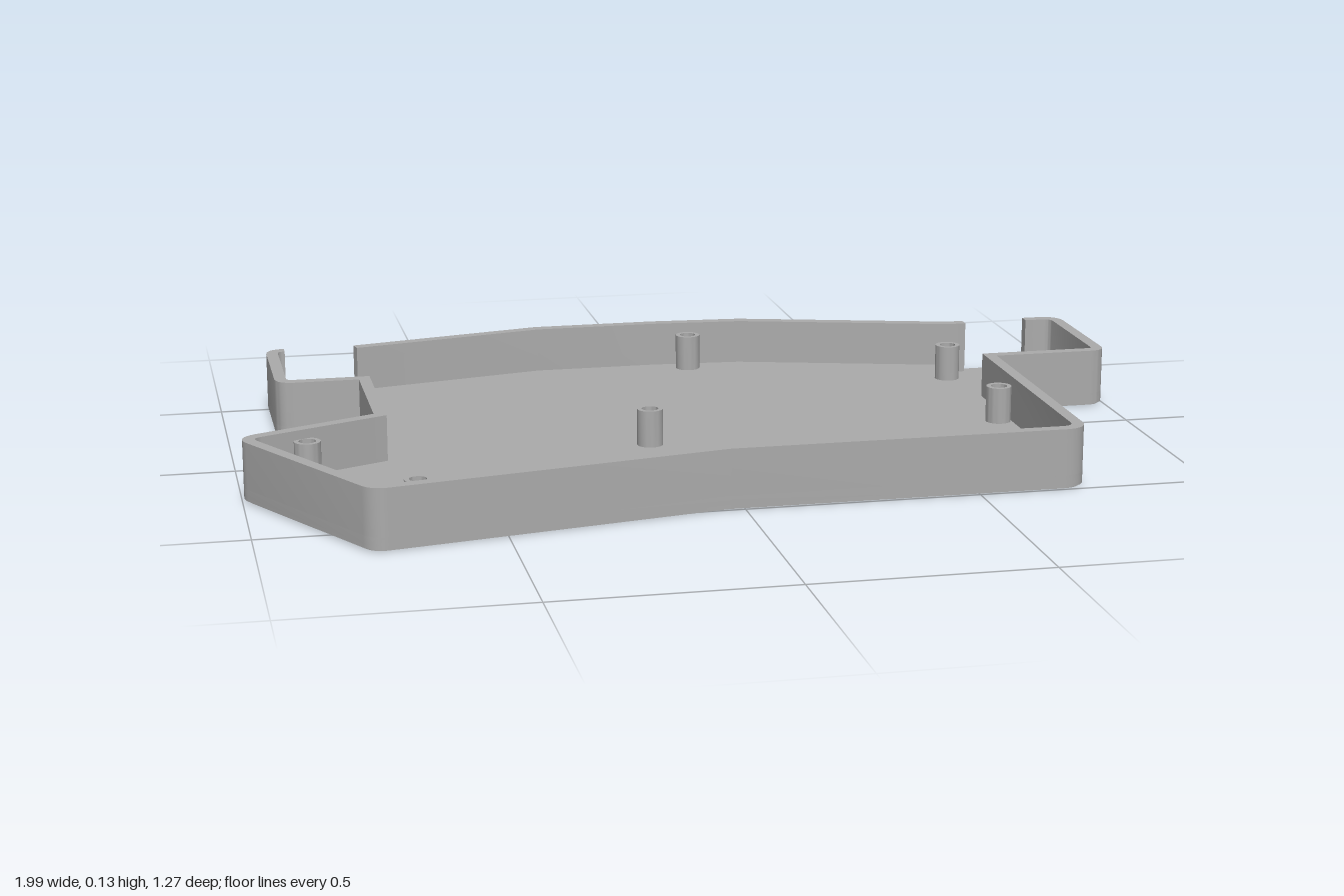
import * as THREE from 'three';
import { toCreasedNormals } from 'three/addons/utils/BufferGeometryUtils.js';

const V = (x, z) => new THREE.Vector2(x, z);

// Open path of [x, z, radius] corners, with the radii rounded off
function rounded(list) {
  const out = [];
  list.forEach(([x, z, r], i) => {
    const p = V(x, z);
    if (!r) return out.push(p);
    const a = V(list[i - 1][0], list[i - 1][1]).sub(p).normalize();
    const b = V(list[i + 1][0], list[i + 1][1]).sub(p).normalize();
    const t = r / Math.tan(Math.acos(a.dot(b)) / 2);
    const s = p.clone().addScaledVector(a, t), e = p.clone().addScaledVector(b, t);
    const arc = new THREE.QuadraticBezierCurve(s, p.clone().lerp(s.clone().add(e).multiplyScalar(0.5), 0.12), e);
    out.push(...arc.getPoints(8));
  });
  return out;
}

// Mitred offset to the left of the path
function offset(pts, d, closed = false) {
  const n = pts.length;
  const normal = (i, j) => { const t = pts[j].clone().sub(pts[i]).normalize(); return V(-t.y, t.x); };
  return pts.map((p, i) => {
    const hasPrev = closed || i > 0, hasNext = closed || i < n - 1;
    const a = hasPrev ? normal((i + n - 1) % n, i) : normal(i, i + 1);
    const b = hasNext ? normal(i, (i + 1) % n) : a;
    return p.clone().addScaledVector(a.clone().add(b), d / (1 + a.dot(b)));
  });
}

const circle = (x, z, r) => Array.from({ length: 28 }, (_, i) =>
  V(x + r * Math.cos(i * Math.PI / 14), z + r * Math.sin(i * Math.PI / 14)));
const rect = (x0, z0, x1, z1) => [V(x0, z0), V(x1, z0), V(x1, z1), V(x0, z1)];

// Closed slot following a smooth curve
function slot(points, w = 0.009) {
  const path = new THREE.SplineCurve(points.map(p => V(...p))).getPoints(32);
  return [...offset(path, w / 2), ...offset(path, -w / 2).reverse()];
}

export function createModel() {
  const group = new THREE.Group();
  const grey = new THREE.MeshStandardMaterial({ color: 0xaaaaaa });
  grey.name = 'grey plastic';

  // Flat outline extruded between two heights
  function slab(name, outline, holes, y0, y1) {
    const shape = new THREE.Shape(outline);
    shape.holes = holes.map(h => new THREE.Path(h));
    let geo = new THREE.ExtrudeGeometry(shape, { depth: y1 - y0, bevelEnabled: false });
    geo.rotateX(Math.PI / 2);
    geo = toCreasedNormals(geo, 0.5);
    const mesh = new THREE.Mesh(geo, grey);
    mesh.name = name;
    mesh.position.y = y1;
    group.add(mesh);
  }

  // Outline in two runs, split by the two port openings in the back
  const backRun = rounded([[-0.69, -0.545], [-0.25, -0.64], [0.03, -0.64], [0.24, -0.625],
    [0.72, -0.49], [0.76, -0.49]]);
  const mainRun = rounded([[0.91, -0.49], [0.998, -0.49, 0.045], [0.998, -0.14, 0.035], [0.735, -0.14],
    [0.735, 0.5, 0.05], [-0.03, 0.5], [-0.775, 0.64, 0.045], [-1.013, 0.207, 0.045],
    [-0.71, 0.075], [-0.71, -0.225], [-0.893, -0.225, 0.04], [-0.893, -0.545, 0.04], [-0.85, -0.545]]);
  const outline = [...backRun, ...mainRun];

  // Sunken port bays cut into the floor
  const rightBay = [[0.76, -0.465], [0.72, -0.465], [0.72, -0.18], [0.955, -0.18], [0.955, -0.465],
    [0.91, -0.465]].map(p => V(...p));
  const leftBay = [V(-0.85, -0.35), V(-0.69, -0.35)];

  const posts = [[0.105, -0.57], [0.68, -0.345], [0.68, 0.05], [0.68, 0.44], [-0.115, 0.08],
    [0, 0.44], [-0.67, 0.515], [-0.86, 0.19], [-0.78, -0.295]];
  const screwHoles = posts.map(([x, z]) => circle(x, z, 0.018));

  slab('basePlate', outline, screwHoles, 0.005, 0.012);
  slab('floor', [...backRun, ...rightBay, ...mainRun, ...leftBay], screwHoles, 0.012, 0.03);

  // Walls
  for (const [name, run] of [['backWall', backRun], ['mainWall', mainRun]])
    slab(name, [...run, ...offset(run, 0.026).reverse()], [], 0.03, 0.13);

  // Hollow screw posts
  posts.forEach(([x, z]) => slab('screwPost', circle(x, z, 0.028), [circle(x, z, 0.018)], 0.03, 0.11));

  // Underside skin with engraved grooves
  const rings = [[-0.32, -0.03, 0.077], [-0.615, -0.09, 0.065]];
  const dots = [[-0.737, 0.453, 0.025], [-0.854, 0.385, 0.02]];
  const frames = [[-0.84, -0.5, -0.73, -0.34], [0.79, -0.42, 0.92, -0.22]];
  const arc = [];
  for (let a = -2.3; a < -0.8; a += 0.25) arc.push([-0.32 + 0.14 * Math.cos(a), -0.03 + 0.14 * Math.sin(a)]);
  const grooves = [
    slot([[-0.047, 0.475], [-0.04, 0.3], [-0.178, 0.19], [-0.382, 0.203], [-0.549, 0.172], [-0.685, 0.08]]),
    slot(arc),
    slot([[-0.32, 0.42], [-0.4, 0.487], [-0.51, 0.5]]),
    ...[...rings, ...dots].map(c => circle(...c)),
    ...frames.map(f => rect(...f)),
  ];
  slab('undersideSkin', offset(outline, 0.008, true), [...screwHoles, ...grooves], 0, 0.005);

  // Raised islands left inside the grooves
  for (const [x, z, r] of rings) {
    slab('ringIsland', circle(x, z, r - 0.01), [circle(x, z, r * 0.58)], 0, 0.005);
    slab('ringCentre', circle(x, z, r * 0.45), [], 0, 0.005);
  }
  for (const [x, z, r] of dots) slab('dotIsland', circle(x, z, r - 0.007), [], 0, 0.005);
  for (const [x0, z0, x1, z1] of frames)
    slab('frameIsland', rect(x0 + 0.008, z0 + 0.008, x1 - 0.008, z1 - 0.008), [], 0, 0.005);

  return group;
}
